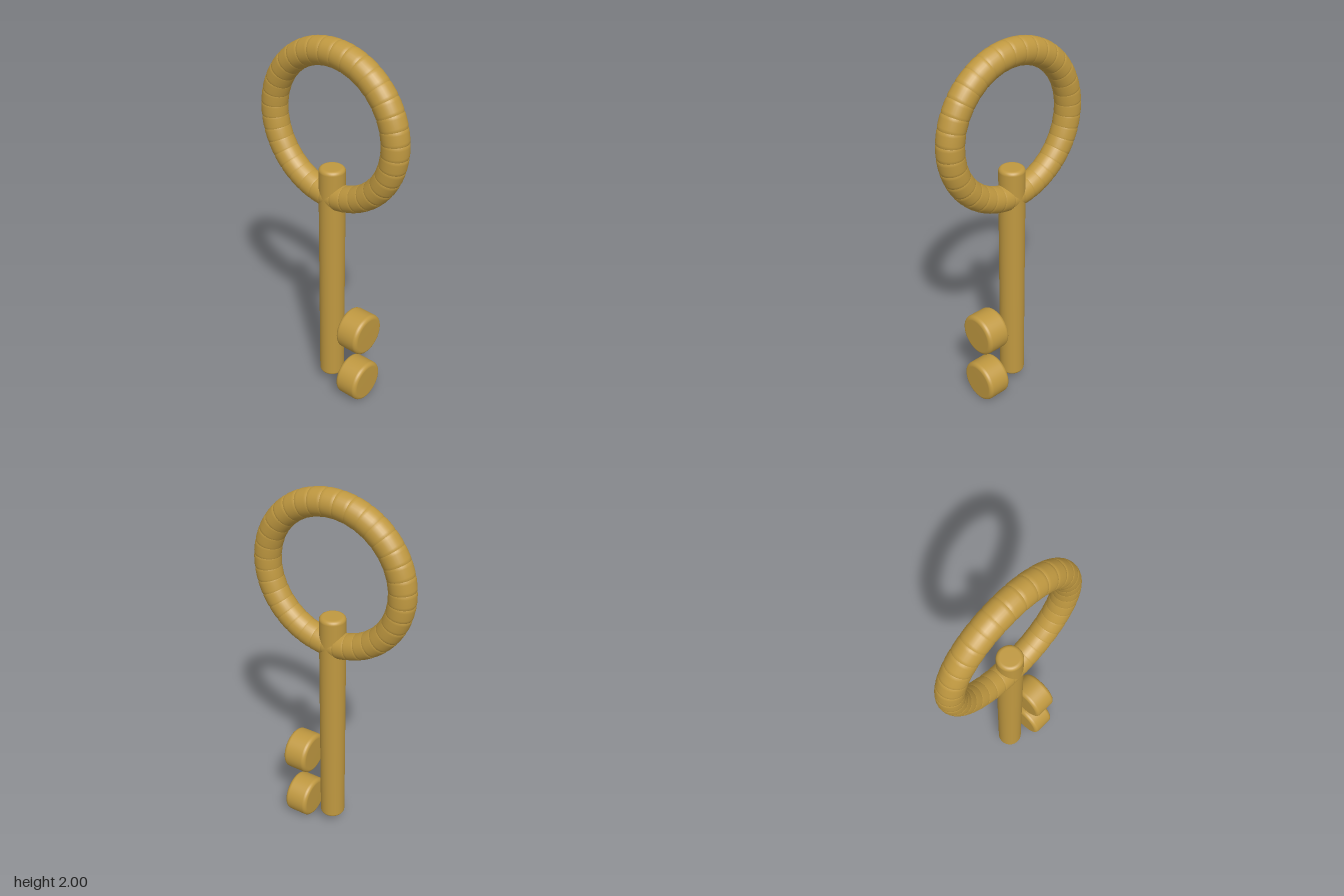
import * as THREE from 'three';

// Cylinder along y with filleted rims
function roundedCylinder(radius, length, fillet, sides = 40) {
  const h = length / 2, steps = 6;
  const profile = [new THREE.Vector2(0, -h)];
  for (const end of [-1, 1]) {
    for (let i = 0; i <= steps; i++) {
      const t = (i / steps) * Math.PI / 2;
      const a = end < 0 ? t : Math.PI / 2 - t;
      profile.push(new THREE.Vector2(
        radius - fillet + fillet * Math.sin(a),
        end * (h - fillet + fillet * Math.cos(a))));
    }
  }
  profile.push(new THREE.Vector2(0, h));
  return new THREE.LatheGeometry(profile, sides);
}

export function createModel() {
  const model = new THREE.Group();
  model.name = 'key';
  const brass = new THREE.MeshStandardMaterial({ color: 0xbf9840 });
  brass.name = 'brass';

  const add = (parent, name, geometry, x, y) => {
    const mesh = new THREE.Mesh(geometry, brass);
    mesh.name = name;
    mesh.position.set(x, y, 0);
    parent.add(mesh);
    return mesh;
  };

  // Shaft
  add(model, 'shaft', roundedCylinder(0.067, 1.28, 0.02), 0, 0.715);

  // Two round teeth beside the shaft
  const tooth = roundedCylinder(0.113, 0.136, 0.022, 48);
  for (const [name, y] of [['lowerTooth', 0.115], ['upperTooth', 0.438]]) {
    add(model, name, tooth, 0.182, y).rotation.z = Math.PI / 2;
  }

  // Bow: a ring of overlapping rounded beads
  const bow = new THREE.Group();
  bow.name = 'bow';
  bow.position.y = 1.565;
  model.add(bow);
  const bead = roundedCylinder(0.067, 0.125, 0.042, 32);
  const count = 36, ringRadius = 0.367;
  for (let i = 0; i < count; i++) {
    const a = (i / count) * Math.PI * 2;
    add(bow, 'bowBead', bead, ringRadius * Math.cos(a), ringRadius * Math.sin(a)).rotation.z = a;
  }

  return model;
}
